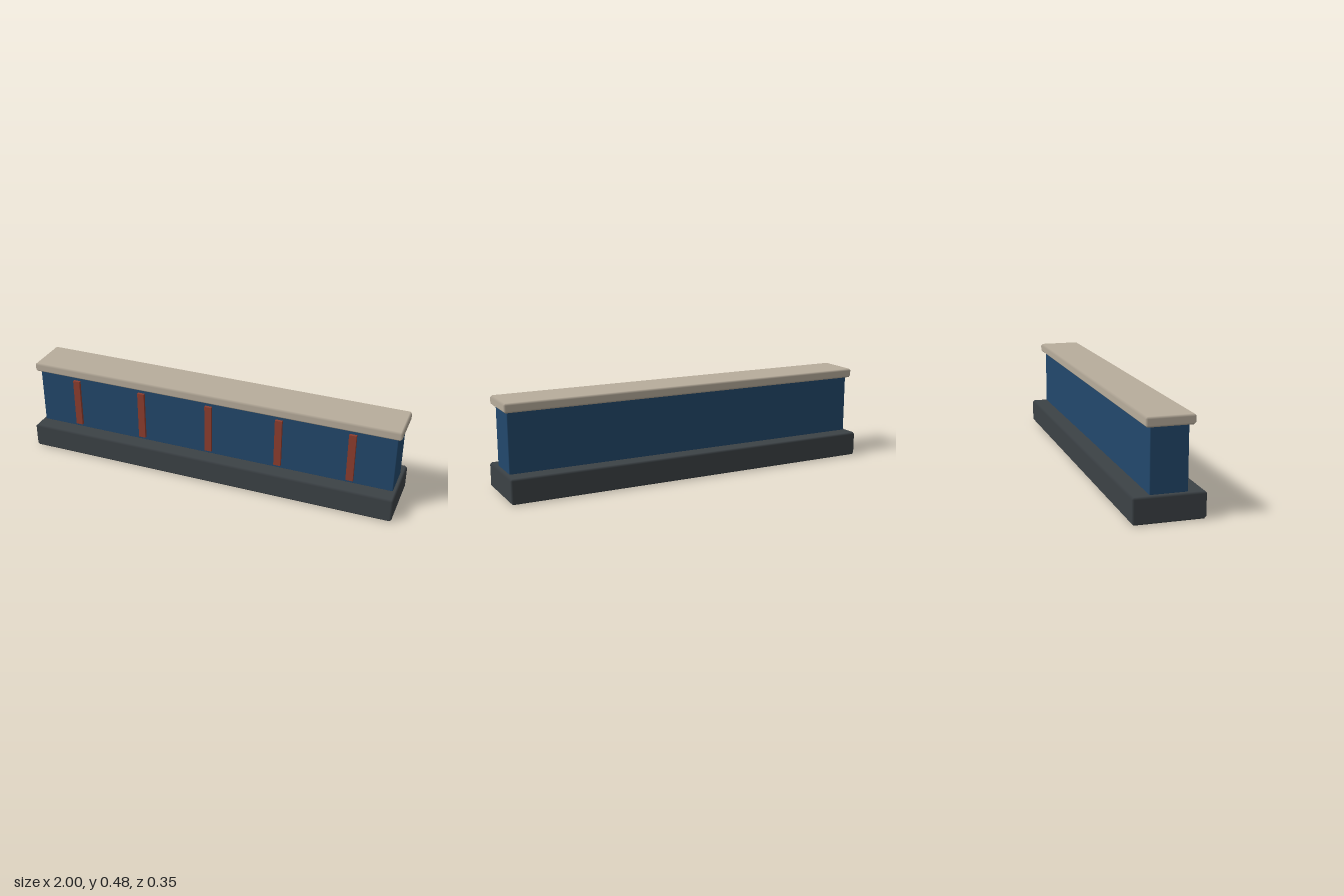
import * as THREE from 'three';
import { ConvexGeometry } from 'three/addons/geometries/ConvexGeometry.js';

// Box with a single chamfer on every edge; each corner keeps the normal of its
// own flat face, so only the chamfers are shaded softly.
function bevelBox(w, h, d, bevel) {
  const half = [w / 2, h / 2, d / 2];
  const points = [];
  for (let axis = 0; axis < 3; axis++) {
    for (const sx of [-1, 1]) for (const sy of [-1, 1]) for (const sz of [-1, 1]) {
      const p = [sx, sy, sz].map((s, i) => s * (half[i] - (i === axis ? 0 : bevel)));
      points.push(new THREE.Vector3(...p));
    }
  }
  const geometry = new ConvexGeometry(points);
  const pos = geometry.attributes.position;
  const normal = geometry.attributes.normal;
  for (let i = 0; i < pos.count; i++) {
    const p = [pos.getX(i), pos.getY(i), pos.getZ(i)];
    const n = p.map((v, k) => (Math.abs(v) > half[k] - bevel / 2 ? Math.sign(v) : 0));
    normal.setXYZ(i, ...n);
  }
  return geometry;
}

function material(name, color) {
  const m = new THREE.MeshStandardMaterial({ color });
  m.name = name;
  return m;
}

export function createModel() {
  const model = new THREE.Group();
  model.name = 'barrierWall';

  const charcoal = material('charcoal', 0x3c4246);
  const navy = material('navy blue', 0x22486c);
  const rust = material('rust red', 0x8e3d2e);
  const stone = material('stone beige', 0xb8ad9c);

  // Adds a bevelled block standing on y
  function block(name, mat, [w, h, d], bevel, x, y, z) {
    const mesh = new THREE.Mesh(bevelBox(w, h, d, bevel), mat);
    mesh.name = name;
    mesh.position.set(x, y + h / 2, z);
    model.add(mesh);
  }

  // Plinth, wall and overhanging cap
  block('base', charcoal, [2, 0.128, 0.348], 0.01, 0, 0, 0);
  block('wall', navy, [1.96, 0.309, 0.18], 0.004, 0, 0.126, 0);
  block('cap', stone, [2, 0.048, 0.232], 0.01, 0, 0.433, 0);

  // Five upright battens on the front of the wall
  for (let i = -2; i <= 2; i++) {
    block('batten', rust, [0.038, 0.263, 0.026], 0.001, i * 0.38, 0.146, 0.091);
  }
  return model;
}
